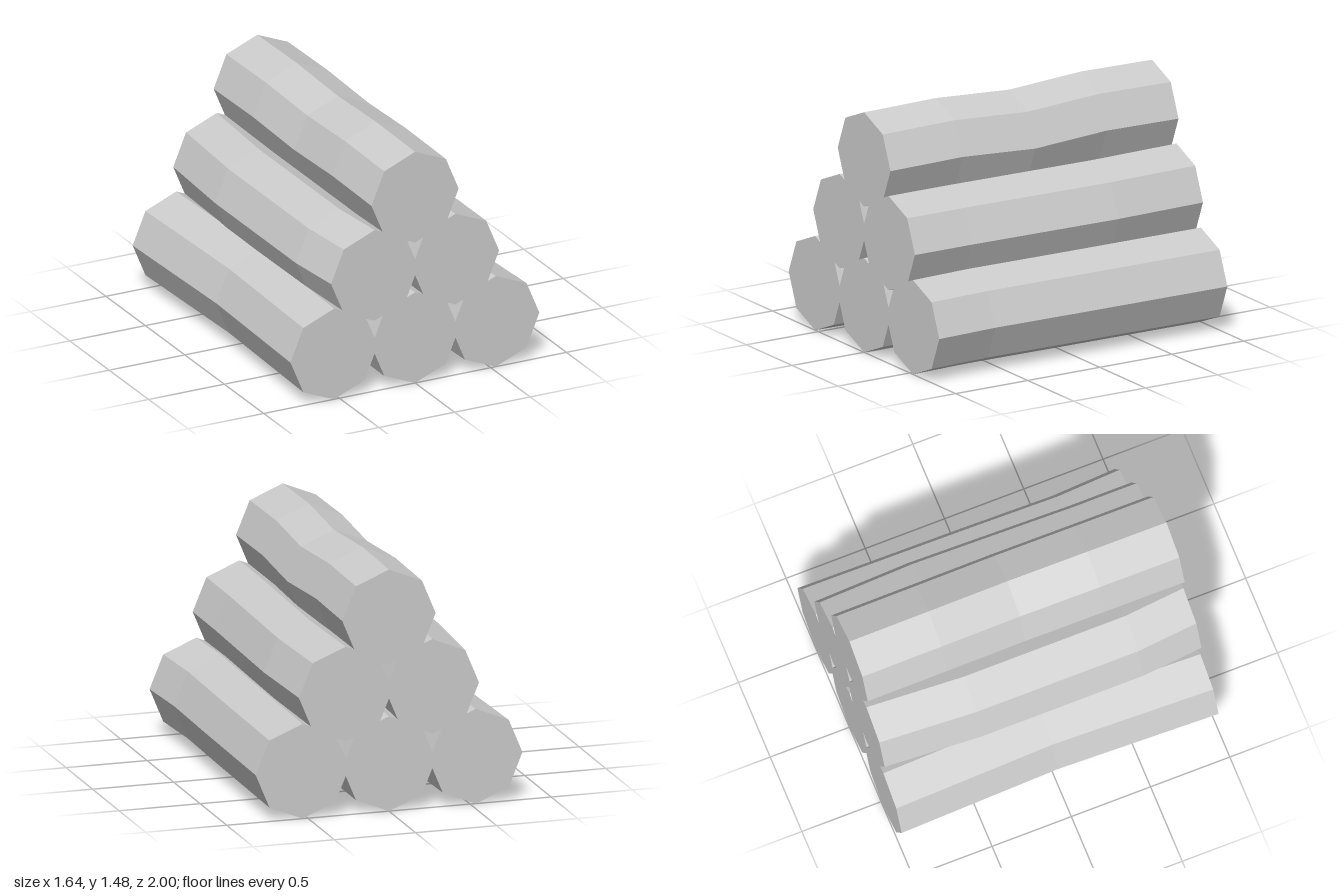
import * as THREE from 'three';

const RADIUS = 0.288;
const SIDES = 8;

// Eight-sided log along z; bends = [z, dx, dy] from the front end to the back
function makeLog(name, x, y, bends, material) {
  const geo = new THREE.CylinderGeometry(RADIUS, RADIUS, 2, SIDES, bends.length - 1);
  geo.rotateX(Math.PI / 2);
  const pos = geo.attributes.position;
  for (let i = 0; i < pos.count; i++) {
    // ring number from the even spacing, then move to that bend
    const ring = Math.round(((1 - pos.getZ(i)) / 2) * (bends.length - 1));
    const [z, dx, dy] = bends[ring];
    pos.setXYZ(i, pos.getX(i) + x + dx, pos.getY(i) + y + dy, z);
  }
  geo.computeVertexNormals();
  const mesh = new THREE.Mesh(geo, material);
  mesh.name = name;
  return mesh;
}

export function createModel() {
  const group = new THREE.Group();
  group.name = 'logPile';
  const material = new THREE.MeshStandardMaterial({ color: 0xcccccc, flatShading: true });

  const logs = [
    // bottom row
    ['bottomRightLog', -0.535, 0.288, [[1, 0, 0], [0, 0.03, 0], [-1, 0, 0]]],
    ['bottomMiddleLog', 0, 0.288, [[1, 0, 0], [-1, 0, 0]]],
    ['bottomLeftLog', 0.533, 0.288, [[1, 0, 0], [0.6, -0.02, 0], [0, -0.01, 0], [-1, 0, 0]]],
    // middle row
    ['middleRightLog', -0.267, 0.735, [[1, 0, 0], [0.62, -0.035, 0], [-0.4, -0.035, 0], [-1, 0, 0]]],
    ['middleLeftLog', 0.267, 0.735, [[1, 0, 0], [0.6, 0, 0], [-0.4, 0.02, 0], [-1, 0, 0]]],
    // top log, sagging in the middle
    ['topLog', 0, 1.18, [[1, 0, 0], [0.5, 0, 0.007], [0, 0.012, -0.019], [-0.5, 0, 0.007], [-1, 0, 0]]],
  ];
  for (const [name, x, y, bends] of logs) group.add(makeLog(name, x, y, bends, material));
  return group;
}
